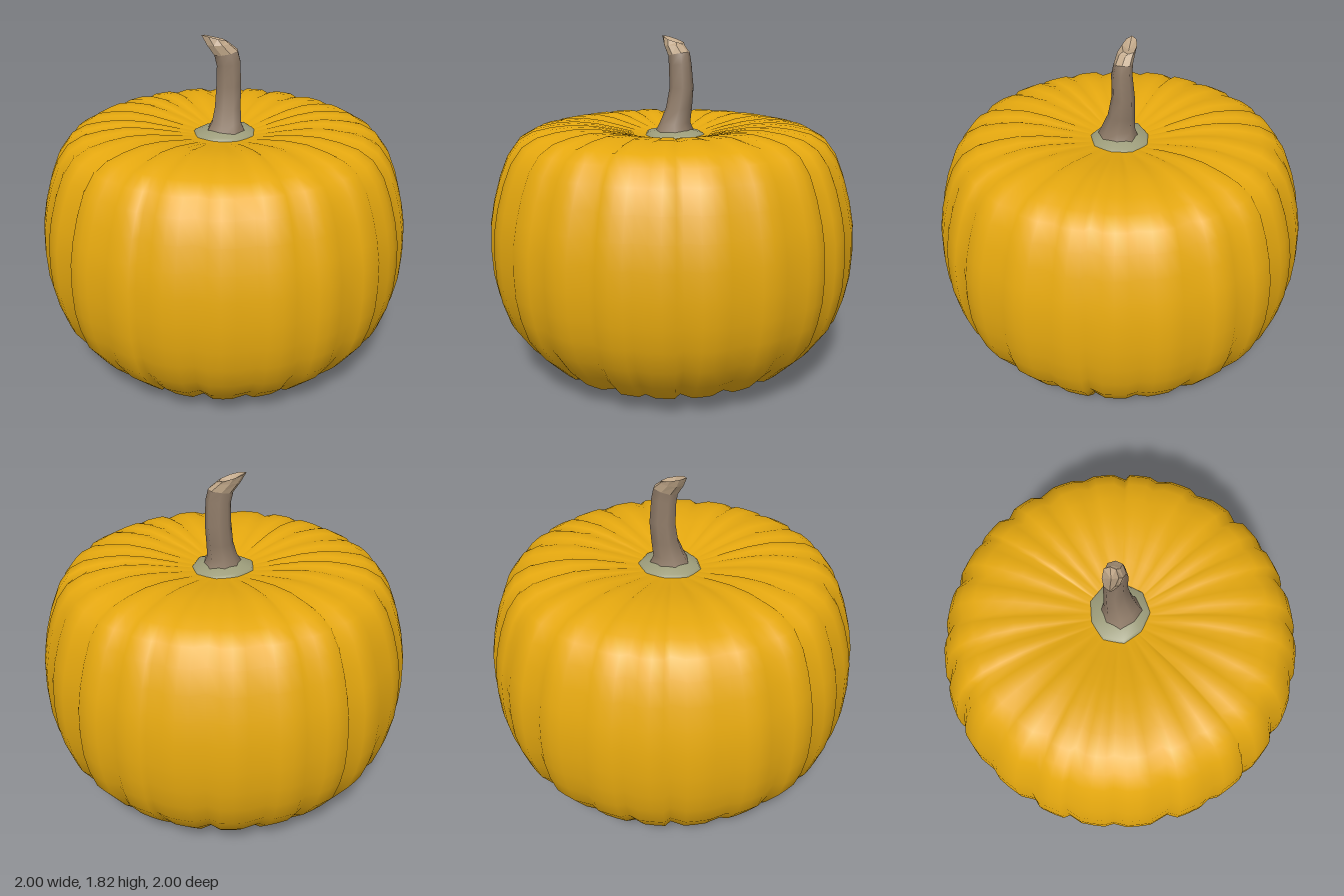
import * as THREE from 'three';
import { mergeVertices } from 'three/addons/utils/BufferGeometryUtils.js';

const RIBS = 24;
const STEPS = 4; // columns per rib

const material = (color, flatShading = false) =>
  new THREE.MeshStandardMaterial({ color, flatShading, roughness: 0.9 });

// Skin of closed rings [cx, y, cz, rx, rz, tiltX] from bottom to top.
function loft(rings, sides, wobble = 0, closeTop = null) {
  const pos = [], index = [];
  rings.forEach(([cx, y, cz, rx, rz, tilt = 0]) => {
    for (let i = 0; i < sides; i++) {
      const a = (i / sides) * Math.PI * 2;
      const k = 1 + wobble * Math.sin(3 * a + 0.6);
      pos.push(cx + Math.sin(a) * rx * k, y + Math.sin(a) * tilt, cz + Math.cos(a) * rz * k);
    }
  });
  for (let j = 0; j < rings.length - 1; j++) {
    for (let i = 0; i < sides; i++) {
      const n = (i + 1) % sides;
      const a = j * sides + i, b = j * sides + n;
      index.push(a, b, b + sides, a, b + sides, a + sides);
    }
  }
  if (closeTop) {
    const first = (rings.length - 1) * sides;
    const centre = pos.length / 3;
    pos.push(...closeTop);
    for (let i = 0; i < sides; i++) index.push(first + i, first + ((i + 1) % sides), centre);
  }
  const g = new THREE.BufferGeometry();
  g.setAttribute('position', new THREE.Float32BufferAttribute(pos, 3));
  g.setIndex(index);
  g.computeVertexNormals();
  return g;
}

// Lathed skin, then narrow grooves of varying depth pressed in along the ribs.
function bodyGeometry() {
  const profile = [
    [0.2, 0.055], [0.25, 0.045], [0.3, 0.022], [0.38, 0.012], [0.55, 0.038], [0.74, 0.11],
    [0.85, 0.225], [0.935, 0.35], [0.973, 0.47], [0.995, 0.59], [1.0, 0.72], [0.993, 0.86],
    [0.97, 0.98], [0.935, 1.1], [0.89, 1.21], [0.83, 1.29], [0.75, 1.335], [0.65, 1.356],
    [0.54, 1.366], [0.42, 1.357], [0.3, 1.335], [0.2, 1.312], [0.13, 1.3],
  ].map(([r, y]) => new THREE.Vector2(r, y));
  const lathe = new THREE.LatheGeometry(profile, RIBS * STEPS);
  const p = lathe.attributes.position;
  for (let i = 0; i < p.count; i++) {
    const column = Math.floor(i / profile.length) % (RIBS * STEPS);
    const rib = Math.floor(column / STEPS);
    const { x, y: r0, } = { x: 0, y: Math.hypot(p.getX(i), p.getZ(i)) };
    const y = p.getY(i);
    const inGroove = column % STEPS === 0;
    const depth = 0.024 + 0.008 * Math.sin(rib * 2.4);
    const shift = 0.035 * Math.sin(rib * 1.7);
    const a = Math.atan2(p.getX(i), p.getZ(i)) + shift * (inGroove ? 1 : 0.5) + x;
    const fade = THREE.MathUtils.smoothstep(r0, 0.16, 0.6);
    const r = r0 - (inGroove ? depth * fade : 0);
    const flat = THREE.MathUtils.smoothstep(r0, 0.16, 0.4) * (1 - THREE.MathUtils.smoothstep(r0, 0.6, 0.95));
    const dent = inGroove ? 0.014 * flat : 0;
    p.setXYZ(i, Math.sin(a) * r, y + (y > 0.7 ? -dent : dent), Math.cos(a) * r);
  }
  lathe.deleteAttribute('uv');
  lathe.deleteAttribute('normal');
  const g = mergeVertices(lathe, 1e-4);
  g.computeVertexNormals();
  return g;
}

export function createModel() {
  const model = new THREE.Group();
  model.name = 'pumpkin';
  const add = (name, geometry, mat) => {
    const mesh = new THREE.Mesh(geometry, mat);
    mesh.name = name;
    model.add(mesh);
  };

  add('body', bodyGeometry(), material(0xe5a80f));

  // Pale collar where the stem meets the skin
  add('stemCollar', loft([
    [0.01, 1.298, -0.005, 0.175, 0.16],
    [0.01, 1.318, -0.005, 0.16, 0.145],
    [0.012, 1.335, 0, 0.09, 0.09],
  ], 9, 0.05), material(0x9c9c7a));

  // Curved stem, wide at the foot and leaning sideways at the top
  add('stem', loft([
    [0.012, 1.305, 0.005, 0.115, 0.115],
    [0.015, 1.37, 0.002, 0.08, 0.088],
    [0.03, 1.45, -0.015, 0.071, 0.071],
    [0.04, 1.56, -0.025, 0.069, 0.06],
    [0.037, 1.68, -0.017, 0.066, 0.054, 0.01],
    [0.025, 1.735, -0.022, 0.065, 0.048, 0.012],
  ], 8, 0.08), material(0x8f7b68));

  // Cut end, paler and pinched to a point on one side
  add('stemTip', loft([
    [0.025, 1.735, -0.022, 0.065, 0.048, 0.012],
    [-0.015, 1.78, -0.032, 0.062, 0.045, 0.002],
    [-0.032, 1.81, -0.045, 0.07, 0.038, -0.02],
  ], 8, 0.08, [-0.025, 1.785, -0.04]), material(0xbfa688, true));

  // Shallow blossom scar closing the underside
  const scar = new THREE.ConeGeometry(0.255, 0.03, 9, 1, true);
  scar.translate(0, 0.06, 0);
  const scarMaterial = material(0x9c9c7a);
  scarMaterial.side = THREE.DoubleSide;
  add('blossomScar', scar, scarMaterial);

  return model;
}
